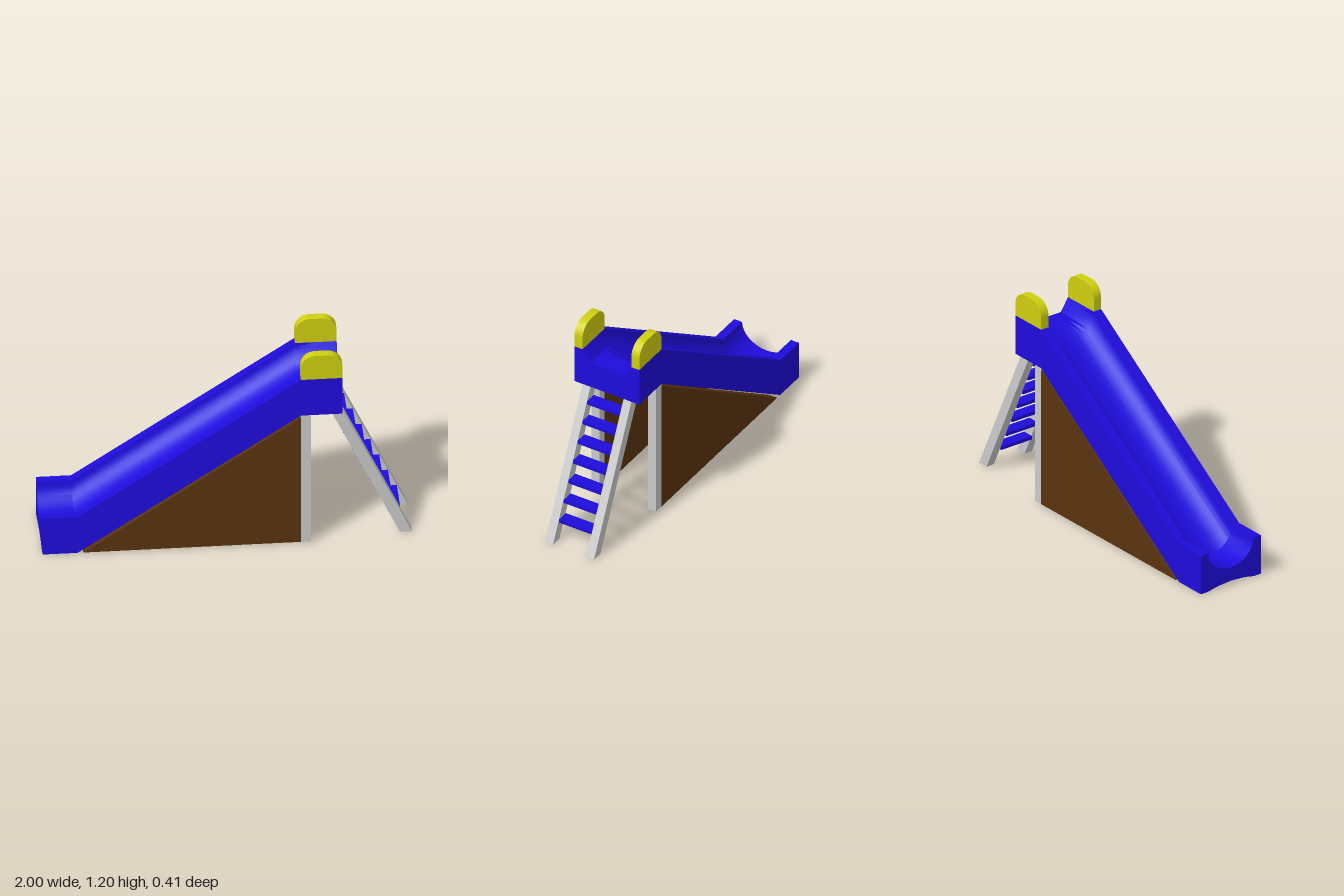
import * as THREE from 'three';
import { toCreasedNormals } from 'three/addons/utils/BufferGeometryUtils.js';

const paint = (color) => new THREE.MeshStandardMaterial({ color, side: THREE.DoubleSide });
const HALF = 0.205, RIM = 0.155, TALL = 0.23, SEG = 16;

// One chute cross-section as [u, y], counter-clockwise seen from +x (u = -z).
// flat = 0 gives the rounded channel, flat = 1 the trapezoid of the platform.
function section(base, flat) {
  const lift = 1 - flat;
  const pts = [[-HALF, 0], [-RIM, 0], [-0.1, 0.012 * lift], [0, 0.02 * lift],
    [0.1, 0.012 * lift], [RIM, 0], [HALF, 0], [HALF, TALL]];
  for (let i = 0; i <= SEG; i++) {
    const a = (Math.PI * i) / SEG;
    const f = i / SEG;
    const k = Math.min(1, 4 * f, 4 * (1 - f));
    const trapU = f < 0.25 ? RIM - 0.05 * k : f > 0.75 ? -RIM + 0.05 * k : 0.105 * (1 - (f - 0.25) * 4);
    pts.push([
      THREE.MathUtils.lerp(RIM * Math.cos(a), trapU, flat),
      TALL - THREE.MathUtils.lerp(0.13 * Math.sin(a), 0.075 * k, flat),
    ]);
  }
  pts.push([-HALF, TALL]);
  return pts.map(([u, y]) => [u, y + base]);
}

// Loft through [x, base height, flatness] stations, with both ends capped
function chuteGeometry(stations) {
  const rings = stations.map(([x, base, flat]) => section(base, flat).map(([u, y]) => [x, y, -u]));
  const n = rings[0].length;
  const out = [];
  const tri = (...corners) => corners.forEach((c) => out.push(...c));
  for (let i = 0; i < rings.length - 1; i++) {
    for (let j = 0; j < n; j++) {
      const k = (j + 1) % n;
      const a = rings[i][j], b = rings[i][k], c = rings[i + 1][j], d = rings[i + 1][k];
      tri(a, b, c);
      tri(b, d, c);
    }
  }
  const cap = (ring, flip) => {
    const outline = ring.map(([, y, z]) => new THREE.Vector2(-z, y));
    for (const [a, b, c] of THREE.ShapeUtils.triangulateShape(outline, [])) {
      if (flip) tri(ring[a], ring[c], ring[b]);
      else tri(ring[a], ring[b], ring[c]);
    }
  };
  cap(rings[0], true);
  cap(rings[rings.length - 1], false);
  const g = new THREE.BufferGeometry();
  g.setAttribute('position', new THREE.Float32BufferAttribute(out, 3));
  return toCreasedNormals(g, 0.4);
}

// Flat board in the x-y plane, from z0 to z1
function board(shape, z0, z1) {
  const g = new THREE.ExtrudeGeometry(shape, { depth: z1 - z0, bevelEnabled: false, curveSegments: 10 });
  g.translate(0, 0, z0);
  return toCreasedNormals(g, 0.4);
}
const polygon = (pts) => new THREE.Shape(pts.map(([x, y]) => new THREE.Vector2(x, y)));

export function createModel() {
  const model = new THREE.Group();
  const blue = paint(0x1e0cdc), yellow = paint(0xd0d010), brown = paint(0x5a3410), grey = paint(0xcccccc);
  const add = (name, geometry, material) => {
    const mesh = new THREE.Mesh(geometry, material);
    mesh.name = name;
    model.add(mesh);
  };

  // Chute with run-out at the bottom and platform at the top
  add('chute', chuteGeometry([
    [-1, 0, 0], [-0.81, 0, 0], [0.395, 0.815, 0], [0.5, 0.815, 1], [0.62, 0.815, 1],
  ]), blue);

  // Hand guard outline with rounded upper corners
  const guard = new THREE.Shape();
  guard.moveTo(0.395, 1.045);
  guard.lineTo(0.62, 1.045);
  guard.lineTo(0.62, 1.115);
  guard.absarc(0.54, 1.115, 0.08, 0, Math.PI / 2);
  guard.absarc(0.475, 1.115, 0.08, Math.PI / 2, Math.PI);
  guard.closePath();

  const panel = polygon([[-0.78, 0], [0.395, 0], [0.395, 0.8]]);
  const post = polygon([[0.395, 0], [0.45, 0], [0.45, 0.815], [0.395, 0.815]]);
  const rail = polygon([[0.935, 0], [1, 0], [0.62, 0.815], [0.555, 0.815]]);

  // Paired parts on the left and right of the chute
  for (const side of [1, -1]) {
    const pair = (name, shape, near, far, material) =>
      add(name, side > 0 ? board(shape, near, far) : board(shape, -far, -near), material);
    pair('handGuard', guard, RIM, HALF, yellow);
    pair('sidePanel', panel, RIM, HALF, brown);
    pair('post', post, RIM, HALF, grey);
    pair('ladderRail', rail, 0.105, RIM, grey);
  }

  // Ladder steps follow the slope of the rails
  for (let i = 0; i < 7; i++) {
    const y = 0.12 + i * 0.1017;
    const step = new THREE.BoxGeometry(0.07, 0.02, 0.21);
    step.translate(0.965 - (y * 0.38) / 0.815 - 0.004, y, 0);
    add('ladderStep', step, blue);
  }
  return model;
}
